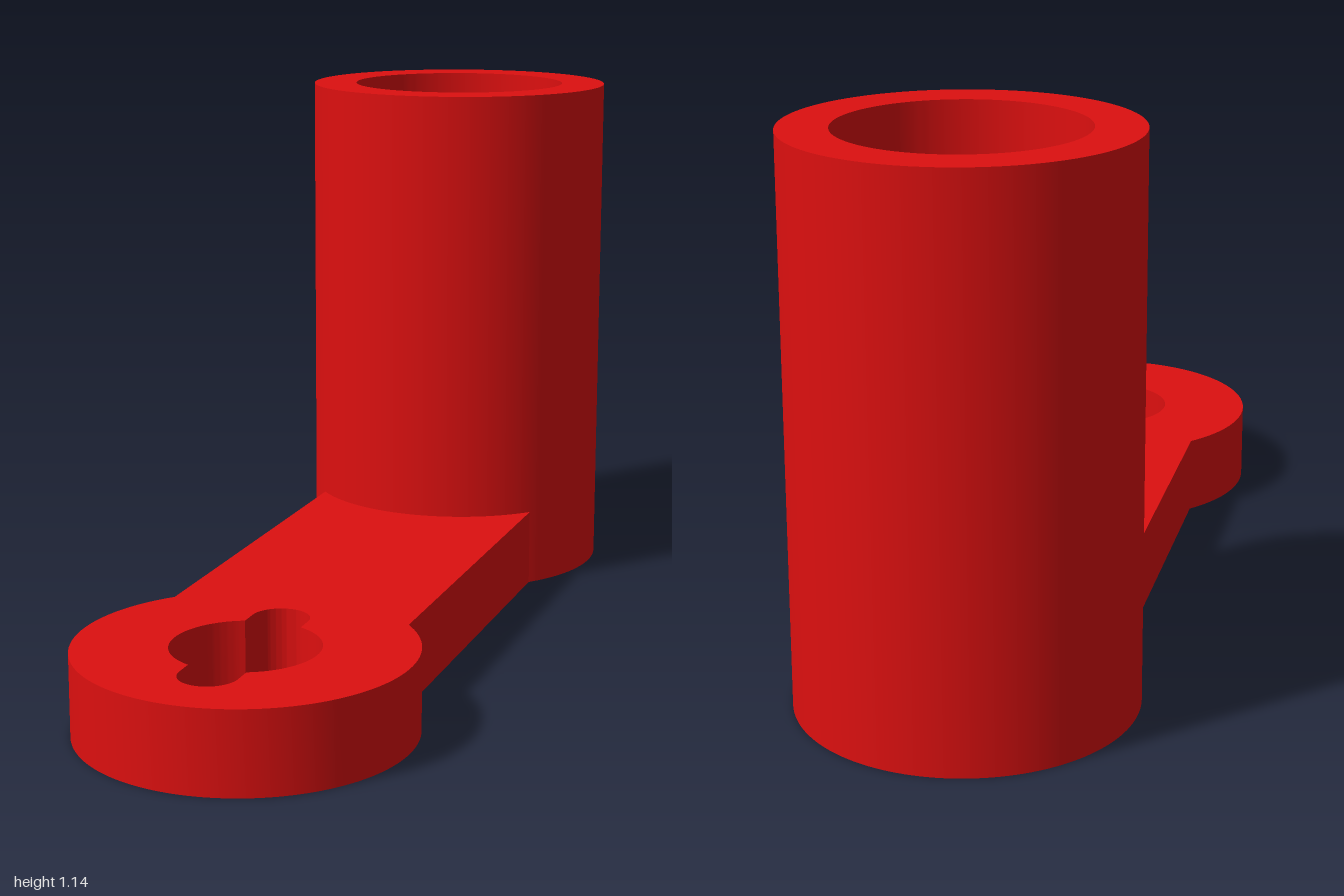
import * as THREE from 'three';
import { toCreasedNormals } from 'three/addons/utils/BufferGeometryUtils.js';

const R = 0.342;           // outer radius of both ends
const BORE = 0.243;        // tube bore radius
const CZ = 0.658;          // distance of both end centres from the middle
const HALF_WIDTH = 0.256;  // half width of the arm
const PLATE_H = 0.171;
const TUBE_H = 1.142;

// Extrudes a plan shape (x, -z) upward from the ground
function extrudeUp(shape, depth, curveSegments) {
  const geometry = new THREE.ExtrudeGeometry(shape, { depth, curveSegments, bevelEnabled: false });
  geometry.rotateX(-Math.PI / 2);
  return toCreasedNormals(geometry, Math.PI / 6);
}

// Round hole with a rounded slot at the front and back
function keyedHole(cy) {
  const r = 0.15, slotR = 0.06, slotOffset = 0.177;
  const d = Math.asin(slotR / r);
  const q = Math.PI / 2;
  const hole = new THREE.Path();
  hole.absarc(0, cy, r, -q + d, q - d, false);
  hole.absarc(0, cy + slotOffset, slotR, 0, Math.PI, false);
  hole.absarc(0, cy, r, q + d, 3 * q - d, false);
  hole.absarc(0, cy - slotOffset, slotR, Math.PI, 2 * Math.PI, false);
  hole.closePath();
  return hole;
}

export function createModel() {
  const group = new THREE.Group();
  group.name = 'tubeBracket';
  const material = new THREE.MeshStandardMaterial({ color: 0xdd1010 });

  const add = (name, geometry) => {
    const mesh = new THREE.Mesh(geometry, material);
    mesh.name = name;
    group.add(mesh);
  };

  // Flat arm: round front end, straight sides, rear edge fitted to the tube
  const a = Math.acos(HALF_WIDTH / R);
  const plate = new THREE.Shape();
  plate.absarc(0, -CZ, R, Math.PI - a, 2 * Math.PI + a, false);
  plate.absarc(0, CZ, R, -a, -Math.PI + a, true);
  plate.closePath();
  plate.holes.push(keyedHole(-CZ));
  add('mountingArm', extrudeUp(plate, PLATE_H, 48));

  // Upright open tube at the back
  const ring = new THREE.Shape();
  ring.absarc(0, CZ, R, 0, 2 * Math.PI, false);
  const bore = new THREE.Path();
  bore.absarc(0, CZ, BORE, 0, 2 * Math.PI, true);
  ring.holes.push(bore);
  add('uprightTube', extrudeUp(ring, TUBE_H, 72));

  return group;
}
